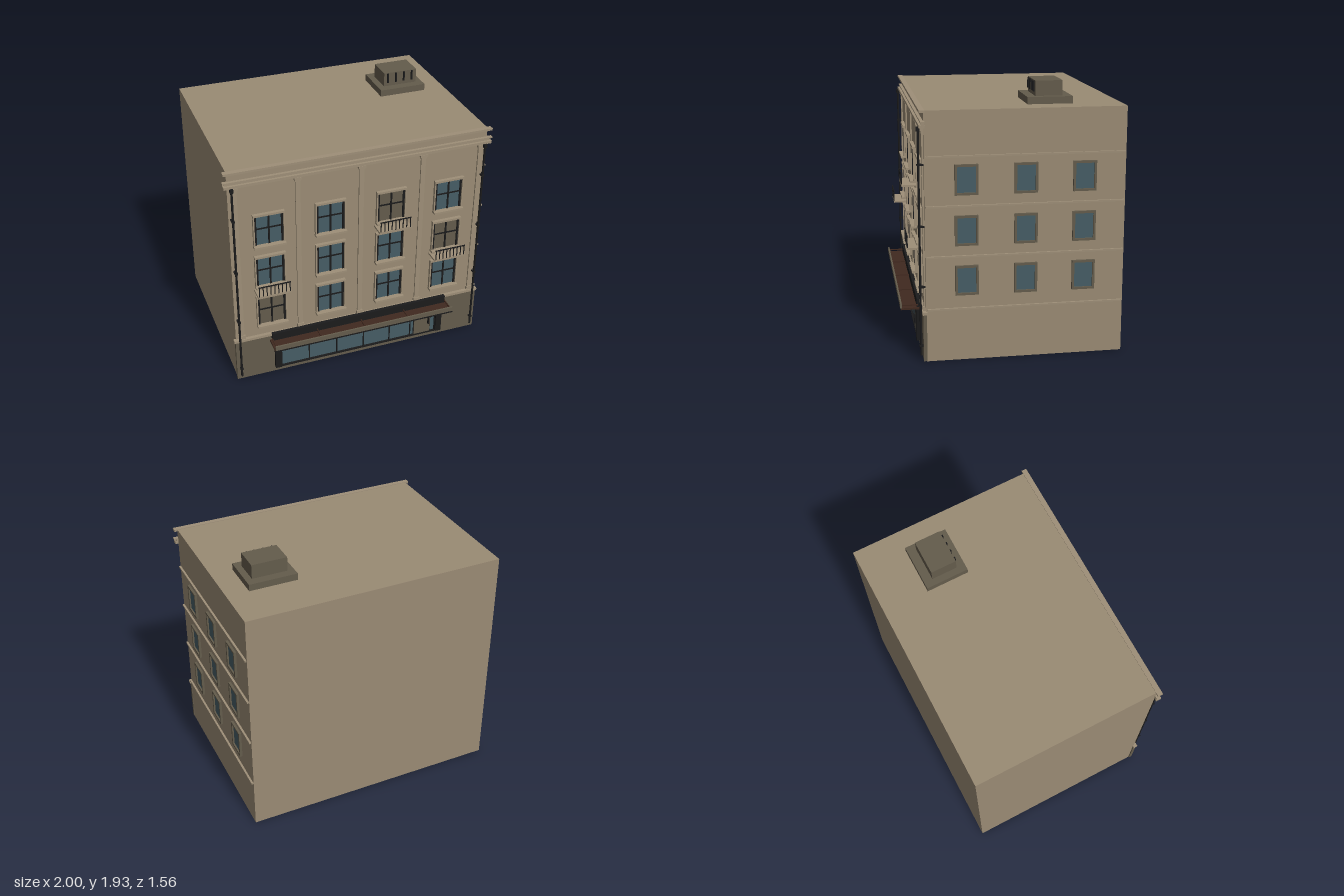
import * as THREE from 'three';

const material = (name, color, side = THREE.FrontSide) => {
  const m = new THREE.MeshStandardMaterial({ color, side });
  m.name = name;
  return m;
};

export function createModel() {
  const wall = material('sandstone', 0x9a8b74);
  const trim = material('pale trim', 0x9e8f78);
  const stone = material('dark stone', 0x645c4c);
  const glass = material('window glass', 0x465d65);
  const black = material('black iron', 0x1b1b1c);
  const brown = material('awning brown', 0x40291f);

  const model = new THREE.Group();
  model.name = 'building';
  const group = (name, parent = model) => {
    const g = new THREE.Group();
    g.name = name;
    parent.add(g);
    return g;
  };
  // Box given by its limits on each axis
  const box = (name, mat, x0, x1, y0, y1, z0, z1, parent = model) => {
    const mesh = new THREE.Mesh(new THREE.BoxGeometry(x1 - x0, y1 - y0, z1 - z0), mat);
    mesh.position.set((x0 + x1) / 2, (y0 + y1) / 2, (z0 + z1) / 2);
    mesh.name = name;
    parent.add(mesh);
    return mesh;
  };

  const F = 0.62; // front wall plane
  const R = 0.967; // side wall plane

  // Main block and ground floor facing
  box('mainBlock', wall, -R, R, 0, 1.77, -0.778, F);
  box('groundFloorFacing', stone, -0.975, 0.972, 0.004, 0.342, F - 0.005, 0.64);

  // Cornice and the moulding above the shop floor
  const cornice = group('cornice');
  box('corniceTop', trim, -0.995, 0.992, 1.758, 1.774, 0.612, 0.65, cornice);
  box('corniceMiddle', trim, -1, 1, 1.69, 1.7, 0.614, 0.642, cornice);
  box('corniceBand', trim, -0.985, 0.982, 1.675, 1.69, 0.614, 0.634, cornice);
  box('corniceLower', trim, -0.995, 0.992, 1.655, 1.675, 0.612, 0.652, cornice);
  box('floorMoulding', trim, -0.985, 0.982, 0.345, 0.365, 0.612, 0.645, cornice);

  // Pilasters with base and capital
  for (const x of [-0.92, -0.47, 0, 0.47, 0.92]) {
    const p = group('pilaster');
    box('shaft', trim, x - 0.018, x + 0.018, 0.365, 1.655, F, 0.632, p);
    box('base', trim, x - 0.024, x + 0.024, 0.365, 0.395, F, 0.638, p);
    box('capitalNeck', trim, x - 0.022, x + 0.022, 1.615, 1.63, F, 0.637, p);
    box('capital', trim, x - 0.028, x + 0.028, 1.63, 1.648, F, 0.643, p);
  }

  // Drainpipes with brackets
  for (const x of [-0.943, 0.94]) {
    const d = group('drainpipe');
    const pipe = new THREE.Mesh(new THREE.CylinderGeometry(0.008, 0.008, 1.61, 10), black);
    pipe.position.set(x, 0.845, 0.655);
    pipe.name = 'pipe';
    d.add(pipe);
    box('hopper', black, x - 0.012, x + 0.012, 1.63, 1.658, 0.642, 0.668, d);
    for (const y of [0.11, 0.54, 0.97, 1.4])
      box('bracket', black, x - 0.011, x + 0.011, y - 0.006, y + 0.006, F, 0.667, d);
  }

  // Front windows
  const columns = [-0.687, -0.233, 0.231, 0.683];
  const rows = [0.583, 0.93, 1.275];
  const shaded = ['0,0', '1,3', '2,2'];
  const frontWindow = (x, y, pane) => {
    const w = group('frontWindow');
    const h = 0.12, s = 0.108;
    box('pane', pane, x - s, x + s, y - h, y + h, F - 0.003, 0.625, w);
    for (const side of [-1, 1]) {
      const e = x + side * 0.097, t = x + side * 0.11;
      box('sideBar', black, e - 0.007, e + 0.007, y - h, y + h, F, 0.632, w);
      box('jamb', trim, t - 0.005, t + 0.005, y - h, y + h, F, 0.642, w);
    }
    box('mullion', black, x - 0.006, x + 0.006, y - h, y + h, F, 0.632, w);
    box('transom', black, x - 0.1, x + 0.1, y + 0.008, y + 0.018, F, 0.631, w);
    box('lintel', trim, x - 0.115, x + 0.115, y + h - 0.002, y + h + 0.014, F, 0.646, w);
    box('sill', trim, x - 0.117, x + 0.117, y - h - 0.014, y - h + 0.002, F, 0.665, w);
  };
  rows.forEach((y, r) => columns.forEach((x, c) =>
    frontWindow(x, y, shaded.includes(`${r},${c}`) ? stone : glass)));

  // Balconies with iron railings
  for (const [r, c] of [[1, 0], [1, 3], [2, 2]]) {
    const x = columns[c], y = rows[r] - 0.165;
    const b = group('balcony');
    box('slab', trim, x - 0.125, x + 0.125, y + 0.005, y + 0.019, F, 0.73, b);
    box('topRail', black, x - 0.12, x + 0.12, y + 0.093, y + 0.1, 0.724, 0.731, b);
    for (let i = 0; i < 9; i++) {
      const bx = x - 0.114 + i * 0.0285;
      box('baluster', black, bx - 0.003, bx + 0.003, y + 0.017, y + 0.095, 0.725, 0.73, b);
    }
  }

  // Shopfront glazing, frame and door
  const shop = group('shopfront');
  box('shopGlass', glass, -0.64, 0.64, 0.05, 0.3, 0.635, 0.644, shop);
  for (const x of [-0.657, 0.657])
    box('shopPost', black, x - 0.024, x + 0.024, 0.045, 0.3, 0.635, 0.665, shop);
  box('shopThreshold', black, -0.68, 0.68, 0.045, 0.054, 0.635, 0.66, shop);
  for (const x of [-0.63, -0.41, -0.19, 0.03, 0.245, 0.42, 0.63])
    box('shopMullion', black, x - 0.004, x + 0.004, 0.05, 0.3, 0.635, 0.652, shop);
  box('doorFrame', black, 0.448, 0.594, 0.05, 0.29, 0.635, 0.647, shop);
  box('door', stone, 0.454, 0.588, 0.052, 0.284, 0.635, 0.653, shop);
  box('doorHandle', black, 0.566, 0.574, 0.135, 0.205, 0.653, 0.672, shop);

  // Awning with sign board, fascia and ribs
  const awning = group('awning');
  box('signBoard', black, -0.7, 0.7, 0.3, 0.37, 0.635, 0.662, awning);
  box('awningSlab', brown, -0.714, 0.714, 0.296, 0.31, 0.64, 0.775, awning);
  box('awningEdge', black, -0.714, 0.714, 0.295, 0.309, 0.775, 0.78, awning);
  box('fascia', stone, -0.712, 0.712, 0.309, 0.345, 0.77, 0.782, awning);
  for (const x of [-0.7, -0.35, 0, 0.35, 0.7])
    box('awningRib', brown, x - 0.004, x + 0.004, 0.322, 0.33, 0.655, 0.775, awning);

  // String courses and windows on the left side wall
  for (const y of [0.38, 0.757, 1.112, 1.457])
    box('stringCourse', trim, R - 0.005, 0.982, y - 0.006, y + 0.006, -0.772, 0.612);
  for (const y of [0.585, 0.94, 1.295]) for (const z of [0.335, -0.077, -0.487]) {
    const w = group('sideWindow');
    box('pane', glass, R - 0.003, 0.973, y - 0.1, y + 0.1, z - 0.076, z + 0.076, w);
    for (const s of [-1, 1]) {
      const e = z + s * 0.073, v = y + s * 0.098;
      box('jamb', stone, R, 0.985, y - 0.106, y + 0.106, e - 0.008, e + 0.008, w);
      box('rail', stone, R, 0.985, v - 0.008, v + 0.008, z - 0.066, z + 0.066, w);
    }
  }

  // Rooftop ventilation unit
  const vent = group('roofUnit');
  box('unitBase', stone, 0.443, 0.802, 1.77, 1.82, -0.435, -0.115, vent);
  box('unitBox', stone, 0.492, 0.755, 1.82, 1.926, -0.37, -0.178, vent);
  for (const x of [0.522, 0.587, 0.652, 0.717])
    box('unitSlat', black, x - 0.006, x + 0.006, 1.848, 1.922, -0.18, -0.168, vent);

  return model;
}
